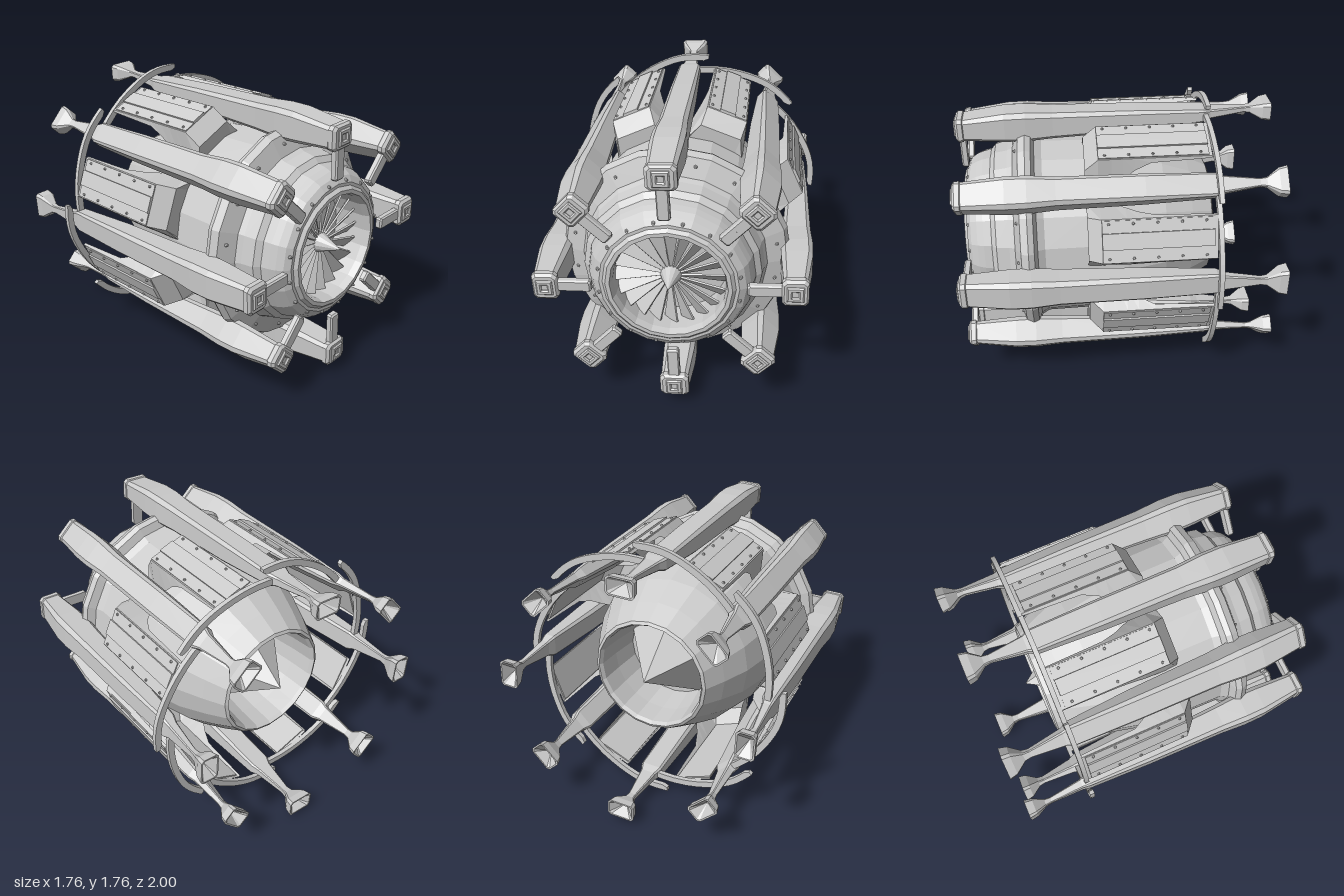
import * as THREE from 'three';
import { mergeGeometries } from 'three/addons/utils/BufferGeometryUtils.js';

const mat = new THREE.MeshStandardMaterial({ color: 0xcccccc, flatShading: true, side: THREE.DoubleSide });
const DEG = Math.PI / 180;
const CENTRE_Y = 0.9;

function part(name, geometry, parent) {
  const mesh = new THREE.Mesh(geometry, mat);
  mesh.name = name;
  parent.add(mesh);
  return mesh;
}

// Skin over equal-length rings of [x, y, z], running front to back; closed rings wrap round
function skin(rings, closed) {
  const n = rings[0].length, idx = [];
  for (let s = 0; s < rings.length - 1; s++) {
    for (let i = 0; i < (closed ? n : n - 1); i++) {
      const a = s * n + i, b = s * n + (i + 1) % n;
      idx.push(a, a + n, b, b, a + n, b + n);
    }
  }
  const g = new THREE.BufferGeometry();
  g.setAttribute('position', new THREE.Float32BufferAttribute(rings.flat(2), 3));
  g.setIndex(idx);
  g.computeVertexNormals();
  return g;
}

// Chamfered rectangles; each section is [z, height, width, depth]
function loftBox(sections) {
  return skin(sections.map(([z, y, w, h]) => {
    const a = w / 2, b = h / 2, c = Math.min(w, h) * 0.14;
    return [[a, b - c], [a - c, b], [c - a, b], [-a, b - c], [-a, c - b], [c - a, -b], [a - c, -b], [a, c - b]]
      .map(([px, py]) => [px, y + py, z]);
  }), true);
}

function squareFrame(outer, inner, depth) {
  const square = (P, s) => {
    const p = new P();
    p.moveTo(-s, -s); p.lineTo(s, -s); p.lineTo(s, s); p.lineTo(-s, s); p.closePath();
    return p;
  };
  const shape = square(THREE.Shape, outer);
  shape.holes.push(square(THREE.Path, inner));
  return new THREE.ExtrudeGeometry(shape, {
    depth, bevelEnabled: true, bevelSize: 0.008, bevelThickness: 0.008, bevelSegments: 1 });
}

// Long arm: blunt front, swollen shoulder, thin neck, hollow flared tail
const armGeometry = loftBox([
  [0.985, 0.735, 0.001, 0.001], [0.985, 0.735, 0.145, 0.13],
  [0.97, 0.735, 0.18, 0.155], [0.94, 0.735, 0.18, 0.155], [0.935, 0.735, 0.17, 0.14],
  [0.68, 0.745, 0.2, 0.19], [0.55, 0.745, 0.2, 0.195], [0.38, 0.745, 0.175, 0.175],
  [-0.15, 0.755, 0.165, 0.14], [-0.57, 0.768, 0.145, 0.085], [-0.62, 0.772, 0.105, 0.06],
  [-0.84, 0.785, 0.05, 0.035], [-0.88, 0.785, 0.06, 0.045], [-0.95, 0.785, 0.16, 0.105],
  [-1, 0.785, 0.18, 0.12], [-1, 0.785, 0.16, 0.1], [-0.92, 0.785, 0.001, 0.001],
]);

// Cowl panel: wide foot at the front whose flanks sweep up into a thin rear plate;
// each section is [z, plate height, flank half width, flank height]
function panelGeometry() {
  return skin([
    [0.19, 0.56, 0.18, 0.56], [0.2, 0.7, 0.19, 0.57], [0.12, 0.795, 0.195, 0.57], [0.04, 0.795, 0.19, 0.59],
    [-0.03, 0.795, 0.178, 0.65], [-0.1, 0.795, 0.16, 0.715], [-0.2, 0.795, 0.145, 0.765], [-0.57, 0.795, 0.138, 0.78],
  ].map(([z, top, w, y]) => [[w, y, z], [0.132, top, z], [-0.132, top, z], [-w, y, z]]), false);
}

function panelTrim() {
  const list = [];
  const box = (w, h, y) => list.push(new THREE.BoxGeometry(w, h, 0.67).translate(0, y, -0.215));
  box(0.25, 0.016, 0.794);
  box(0.1, 0.012, 0.807);
  for (const x of [-0.105, 0.105]) {
    for (let i = 0; i < 5; i++) {
      list.push(new THREE.CylinderGeometry(0.006, 0.01, 0.012, 6).translate(x, 0.806, 0.08 - i * 0.145));
    }
  }
  return mergeGeometries(list);
}

// Hooked ring segment: its free end overhangs one arm, its root meets the next
function hookGeometry() {
  const radii = new THREE.SplineCurve([[-9, 0.885], [4, 0.875], [20, 0.835], [42, 0.785]].map(p => new THREE.Vector2(...p)));
  const outer = radii.getPoints(12);
  const at = (a, r) => new THREE.Vector2(-Math.sin(a * DEG) * r, Math.cos(a * DEG) * r);
  const pts = outer.map(p => at(p.x, p.y));
  outer.reverse().forEach((p, i) => pts.push(at(p.x, p.y - (i === 12 ? 0.025 : 0.042))));
  return new THREE.ExtrudeGeometry(new THREE.Shape(pts), { depth: 0.03, bevelEnabled: false }).translate(0, 0, -0.6);
}

function rivetRing(count, radius, z) {
  const list = [];
  for (let i = 0; i < count; i++) {
    const a = (i + 0.5) / count * Math.PI * 2;
    list.push(new THREE.CylinderGeometry(0.007, 0.012, 0.016, 8).rotateX(Math.PI / 2)
      .translate(Math.cos(a) * radius, Math.sin(a) * radius, z));
  }
  return mergeGeometries(list);
}

// Fan blade: widens outward and is pitched along its length
function bladeGeometry() {
  const g = new THREE.BoxGeometry(1, 0.29, 0.012).translate(0, 0.19, 0);
  const p = g.attributes.position;
  for (let i = 0; i < p.count; i++) p.setX(i, p.getX(i) * p.getY(i) * 0.32);
  return g.rotateY(0.65);
}

export function createModel() {
  const model = new THREE.Group();
  model.name = 'engine';
  const engine = new THREE.Group();
  engine.name = 'engineAssembly';
  engine.position.y = CENTRE_Y;
  model.add(engine);

  // Core: hull, fan and exhaust, seated slightly above the arm axis
  const core = new THREE.Group();
  core.name = 'core';
  core.position.y = 0.01;
  engine.add(core);

  // Hull: rear nozzle throat, outer skin and front intake in one turned profile
  const profile = [
    [0.31, -0.25], [0.335, -0.45], [0.345, -0.6], [0.36, -0.625], [0.38, -0.615], [0.45, -0.48], [0.53, -0.3],
    [0.59, -0.05], [0.61, 0.2], [0.615, 0.46], [0.64, 0.505], [0.695, 0.525], [0.71, 0.56], [0.69, 0.605],
    [0.57, 0.645], [0.555, 0.68], [0.54, 0.76], [0.505, 0.79], [0.495, 0.84], [0.48, 0.88], [0.455, 0.92], [0.415, 0.945],
    [0.395, 0.945], [0.375, 0.965], [0.35, 0.965], [0.337, 0.92], [0.333, 0.7],
  ].map(([r, z]) => new THREE.Vector2(r, z));
  part('hull', new THREE.LatheGeometry(profile, 20).rotateX(Math.PI / 2), core);
  part('innerRivets', rivetRing(16, 0.425, 0.94), core);
  part('outerRivets', rivetRing(16, 0.63, 0.627), core);

  // Intake fan
  const fan = new THREE.Group();
  fan.name = 'fan';
  core.add(fan);
  const blade = bladeGeometry();
  for (let i = 0; i < 20; i++) part('fanBlade', blade, fan).rotation.z = i * Math.PI / 10;
  fan.position.z = 0.83;
  part('fanBacking', new THREE.CircleGeometry(0.337, 20), fan).position.z = -0.12;
  part('fanHub', new THREE.ConeGeometry(0.08, 0.19, 12).rotateX(Math.PI / 2), fan).position.z = 0.065;

  // Exhaust spike
  part('exhaustBacking', new THREE.CircleGeometry(0.32, 20).rotateY(Math.PI), core).position.z = -0.26;
  part('exhaustSpike', new THREE.ConeGeometry(0.32, 0.44, 5).rotateX(-Math.PI / 2), core).position.z = -0.48;

  // Eight arms with struts, hooks and the panels between them
  const frame = squareFrame(0.042, 0.026, 0.014);
  const strut = loftBox([[0.97, 0.57, 0.001, 0.001], [0.97, 0.57, 0.06, 0.2], [0.96, 0.57, 0.075, 0.22],
    [0.93, 0.57, 0.075, 0.22], [0.93, 0.57, 0.001, 0.001]]);
  const hook = hookGeometry(), panel = panelGeometry(), trim = panelTrim();
  for (let k = 0; k < 8; k++) {
    const station = new THREE.Group();
    station.name = 'armStation';
    station.rotation.z = (2.5 + 45 * k) * DEG;
    engine.add(station);
    part('arm', armGeometry, station);
    part('armFrontFrame', frame, station).position.set(0, 0.735, 0.975);
    part('strut', strut, station);
    part('ringHook', hook, station);

    const cowl = new THREE.Group();
    cowl.name = 'cowlPanel';
    cowl.rotation.z = 22.5 * DEG;
    station.add(cowl);
    part('panelPlate', panel, cowl);
    part('panelTrim', trim, cowl);
  }
  return model;
}
